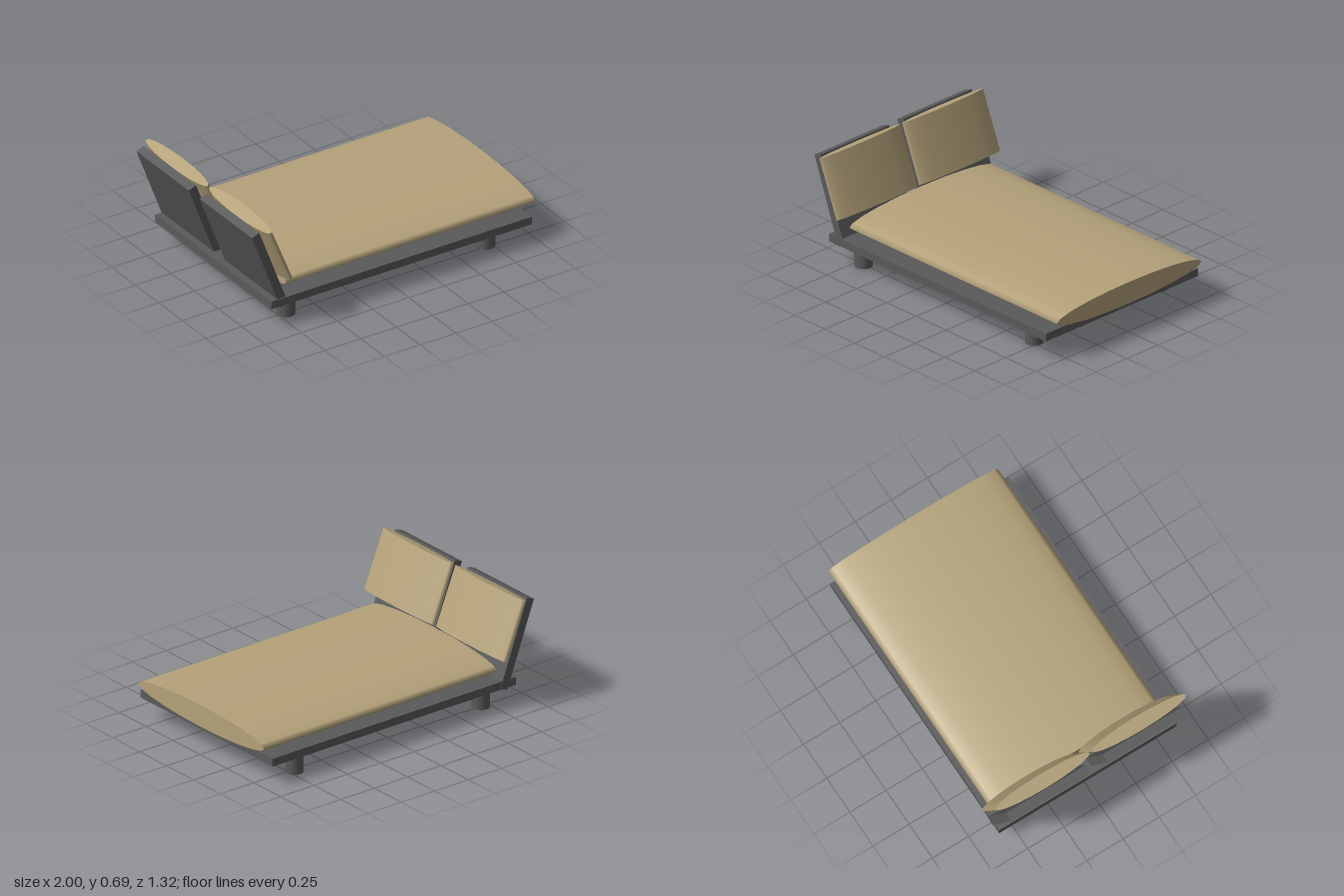
import * as THREE from 'three';

export function createModel() {
  const model = new THREE.Group();
  const frame = new THREE.MeshStandardMaterial({ color: 0x5a5a5a });
  const fabric = new THREE.MeshStandardMaterial({ color: 0xb5a27a });

  const add = (name, geometry, material, x, y, z, tilt = 0) => {
    const mesh = new THREE.Mesh(geometry, material);
    mesh.name = name;
    mesh.position.set(x, y, z);
    mesh.rotation.z = tilt;
    model.add(mesh);
    return mesh;
  };

  // Upright cylinder with an oval section: half sizes rx and rz
  const oval = (rx, rz, height, sides = 20) =>
    new THREE.CylinderGeometry(1, 1, height, sides).scale(rx, 1, rz);

  // Platform
  add('platform', new THREE.BoxGeometry(1.82, 0.05, 1.23), frame, 0.04, 0.155, 0);

  // Feet, the head pair set slightly to one side of the foot pair
  const foot = new THREE.CylinderGeometry(0.055, 0.055, 0.13, 24);
  for (const [x, offset] of [[-0.695, 0.002], [0.715, -0.019]]) {
    for (const side of [1, -1]) add('foot', foot, frame, x, 0.065, side * 0.503 + offset);
  }

  // Mattress: oval bolster lying along x
  add('mattress', oval(0.07, 0.587, 1.74), fabric, 0.13, 0.25, -0.01, Math.PI / 2);

  // Leaning headboard panels, each with an oval back cushion
  const board = new THREE.BoxGeometry(0.055, 0.564, 0.555);
  const cushion = oval(0.0433, 0.327, 0.381);
  for (const side of [1, -1]) {
    add('headboard', board, frame, -0.875, 0.391, side * 0.335 - 0.005, THREE.MathUtils.degToRad(20.7));
    add('backCushion', cushion, fabric, -0.83, 0.496, side * 0.335, THREE.MathUtils.degToRad(22.2));
  }
  return model;
}
